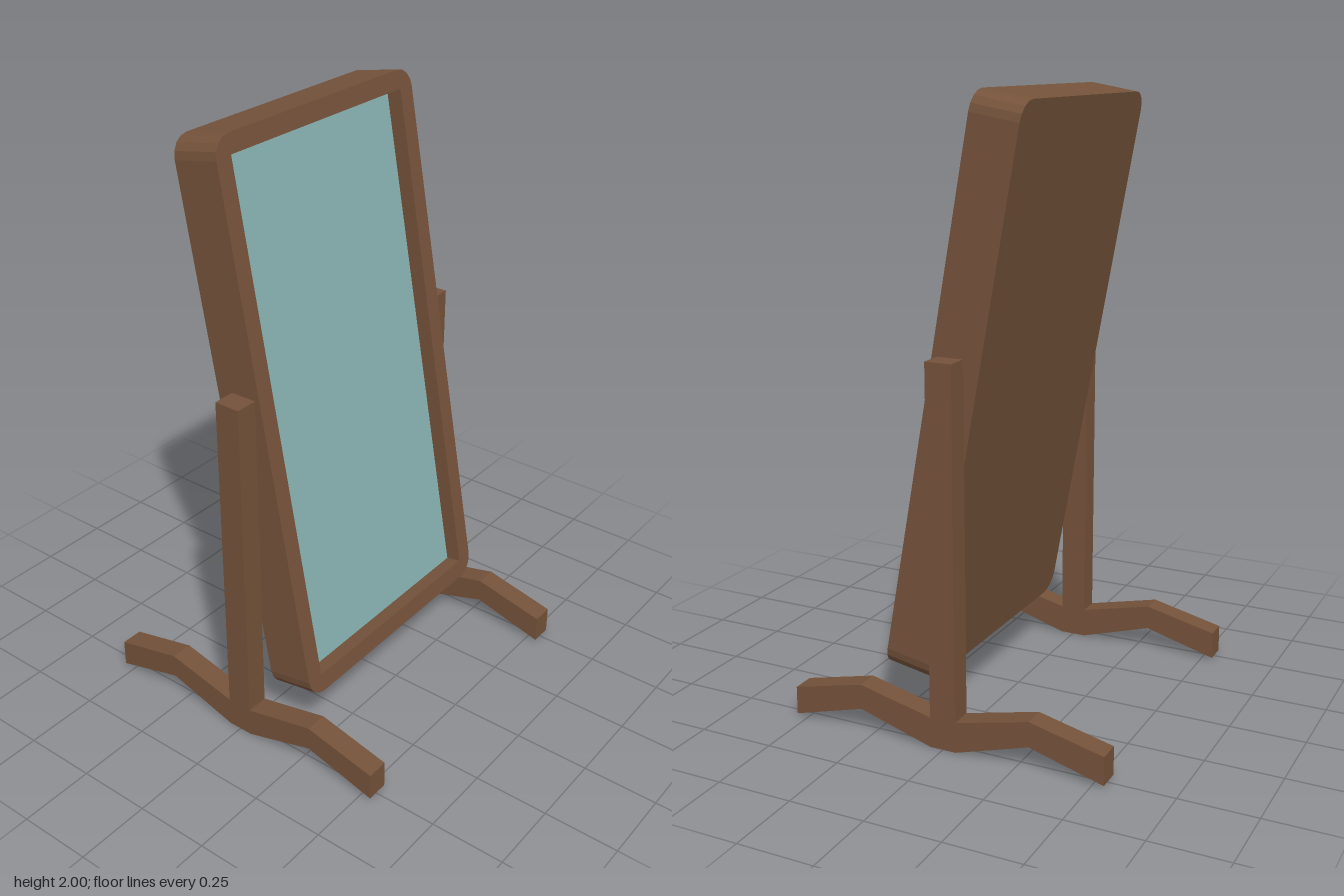
import * as THREE from 'three';

const wood = new THREE.MeshStandardMaterial({ color: 0x74523a, flatShading: true });
const glass = new THREE.MeshStandardMaterial({ color: 0x87b1b0 });

// Rectangle with softly cut corners, centred on the origin
function roundedRect(w, h, r) {
  const x = w / 2 - r, y = h / 2 - r, q = Math.PI / 2;
  const s = new THREE.Shape();
  s.absarc(x, y, r, 0, q);
  s.absarc(-x, y, r, q, 2 * q);
  s.absarc(-x, -y, r, 2 * q, 3 * q);
  s.absarc(x, -y, r, 3 * q, 4 * q);
  s.closePath();
  return s;
}

function extruded(name, shape, depth, z) {
  const geo = new THREE.ExtrudeGeometry(shape, { depth, bevelEnabled: false, curveSegments: 2 });
  geo.translate(0, 0, z);
  const mesh = new THREE.Mesh(geo, wood);
  mesh.name = name;
  return mesh;
}

// Tilting frame, built facing +z and then turned to face +x
function createTiltingMirror() {
  const W = 0.925, H = 1.83, T = 0.162, recess = 0.055, rim = 0.061, r = 0.065;
  const group = new THREE.Group();
  group.name = 'tiltingMirror';

  // Solid back and raised rim around the glass
  group.add(extruded('backPanel', roundedRect(W, H, r), T - recess, -T / 2));
  const rimShape = roundedRect(W, H, r);
  const x = W / 2 - rim, y = H / 2 - rim;
  rimShape.holes.push(new THREE.Path([
    new THREE.Vector2(-x, -y), new THREE.Vector2(-x, y),
    new THREE.Vector2(x, y), new THREE.Vector2(x, -y),
  ]));
  group.add(extruded('frameRim', rimShape, recess, T / 2 - recess));

  // Glass set into the recess
  const pane = new THREE.Mesh(new THREE.PlaneGeometry(2 * x, 2 * y), glass);
  pane.name = 'mirrorGlass';
  pane.position.z = T / 2 - recess + 0.002;
  group.add(pane);

  group.rotation.set(0, Math.PI / 2, THREE.MathUtils.degToRad(10.3), 'ZYX');
  group.position.set(0.005, 1.085, 0);
  return group;
}

// Upright post on a pair of bent feet
function createStand(name, z) {
  const group = new THREE.Group();
  group.name = name;
  const post = new THREE.Mesh(new THREE.BoxGeometry(0.088, 1.225, 0.075), wood);
  post.name = 'post';
  post.position.y = 1.225 / 2;
  group.add(post);

  for (const s of [1, -1]) {
    const profile = [[0.044, 0], [0.293, 0.075], [0.538, 0.007], [0.538, 0.1], [0.293, 0.158], [0.044, 0.1]];
    const shape = new THREE.Shape(profile.map(([px, py]) => new THREE.Vector2(s * px, py)));
    group.add(extruded(s > 0 ? 'frontFoot' : 'backFoot', shape, 0.075, -0.0375));
  }
  group.position.z = z;
  return group;
}

export function createModel() {
  const model = new THREE.Group();
  model.name = 'standingMirror';
  model.add(createTiltingMirror());
  model.add(createStand('standA', 0.5), createStand('standB', -0.5));
  return model;
}
